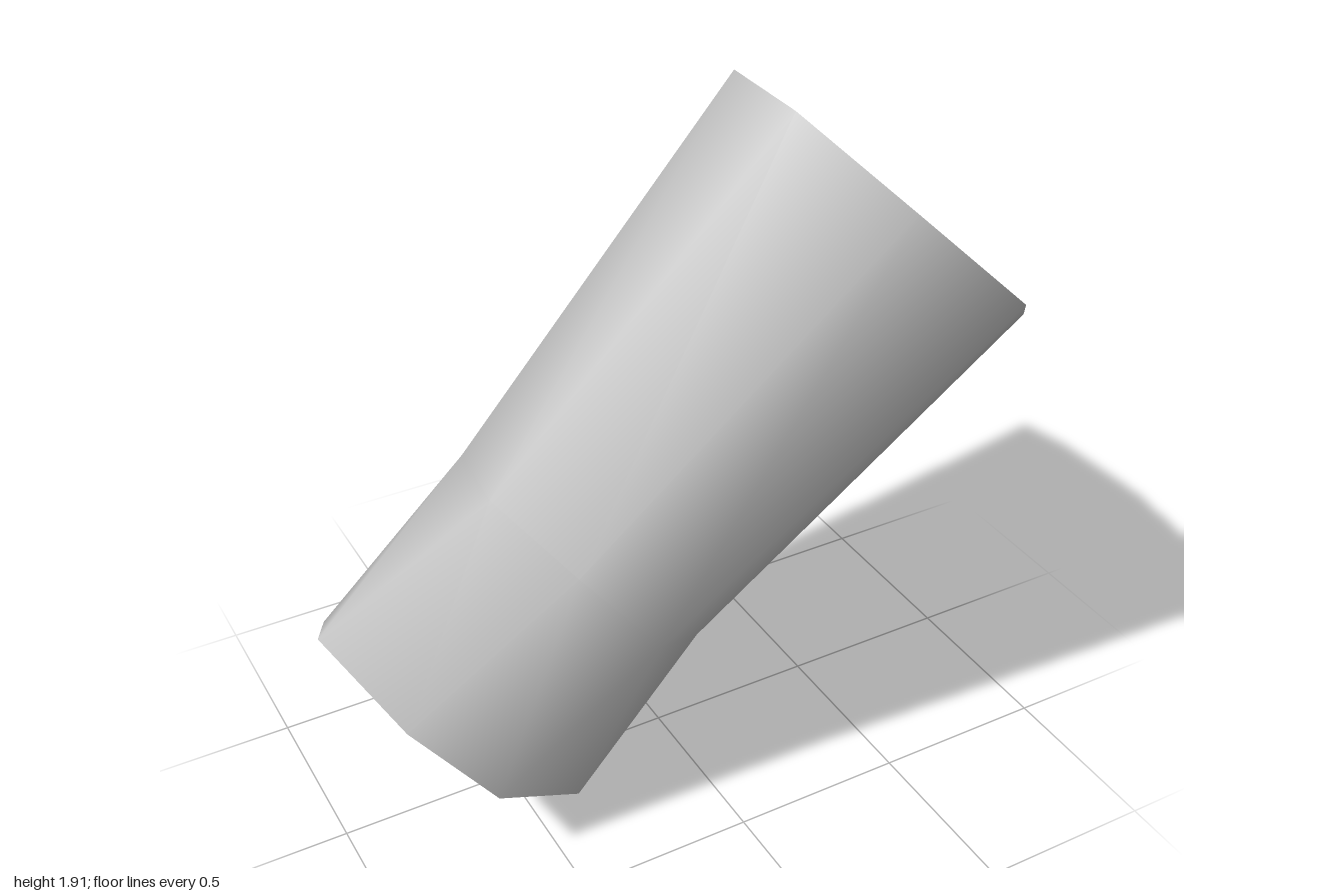
import * as THREE from 'three';

// Eight-sided cross-sections of the tilted sleeve, from the upper rim to the lower rim
const rings = [
  // wide upper rim
  [[0.73, 1.51, 0.58], [0.49, 1.75, 0.43], [0.36, 1.91, 0.06], [0.42, 1.87, -0.34],
   [0.63, 1.67, -0.58], [0.87, 1.43, -0.43], [1.0, 1.3, -0.06], [0.94, 1.31, 0.34]],
  // narrow waist
  [[-0.21, 0.65, 0.4], [-0.41, 0.9, 0.33], [-0.53, 1.02, 0.06], [-0.48, 0.97, -0.24],
   [-0.3, 0.79, -0.41], [-0.08, 0.58, -0.33], [0.04, 0.45, -0.06], [-0.01, 0.5, 0.24]],
  // uneven lower rim
  [[-0.67, 0.27, 0.34], [-0.86, 0.47, 0.2], [-1.0, 0.68, -0.03], [-0.92, 0.56, -0.24],
   [-0.69, 0.3, -0.34], [-0.52, 0.12, -0.21], [-0.28, 0.0, 0.0], [-0.38, 0.05, 0.22]],
];

// Joins consecutive closed rings into a smooth open tube
function loft(sections) {
  const n = sections[0].length;
  const index = [];
  for (let r = 0; r < sections.length - 1; r++) {
    for (let i = 0; i < n; i++) {
      const j = (i + 1) % n;
      const a = r * n + i, b = r * n + j, c = a + n, d = b + n;
      index.push(a, b, c, b, d, c);
    }
  }
  const geometry = new THREE.BufferGeometry();
  geometry.setAttribute('position', new THREE.Float32BufferAttribute(sections.flat(2), 3));
  geometry.setIndex(index);
  geometry.computeVertexNormals();
  return geometry;
}

export function createModel() {
  const group = new THREE.Group();
  group.name = 'openSleeve';

  const grey = new THREE.MeshStandardMaterial({ color: 0xbcbcbc, side: THREE.DoubleSide });
  grey.name = 'light grey';

  // Thin shell, open at both ends
  const sleeve = new THREE.Mesh(loft(rings), grey);
  sleeve.name = 'sleeve';
  group.add(sleeve);
  return group;
}
